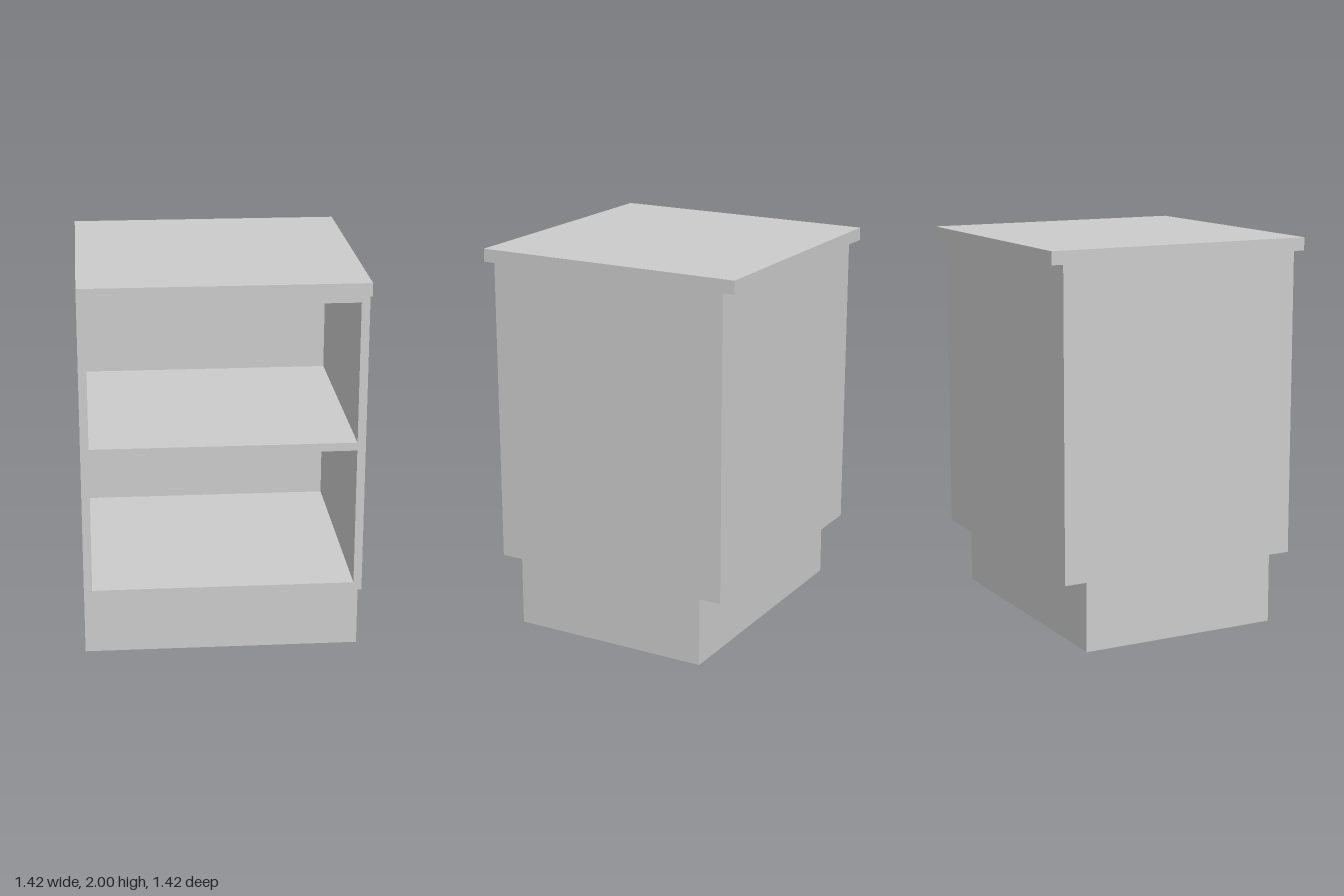
import * as THREE from 'three';

const W = 1.423;               // overall width and worktop depth
const BODY = 0.65;             // half depth of the carcass
const BACK = 0.042;            // back panel thickness
const Y0 = 0.358, Y1 = 1.933;  // carcass bottom and top
const IN0 = 0.4, IN1 = 1.887;  // opening bottom and top
const INX = 0.669;             // opening half width

function rect(shape, x, y0, y1) {
  shape.moveTo(-x, y0);
  shape.lineTo(x, y0);
  shape.lineTo(x, y1);
  shape.lineTo(-x, y1);
  shape.closePath();
  return shape;
}

export function createModel() {
  const group = new THREE.Group();
  const material = new THREE.MeshStandardMaterial({ color: 0xcccccc });

  const add = (name, geometry) => {
    const mesh = new THREE.Mesh(geometry, material);
    mesh.name = name;
    group.add(mesh);
    return mesh;
  };
  // box given by width, bottom, top, back and front
  const box = (name, w, y0, y1, z0, z1) =>
    add(name, new THREE.BoxGeometry(w, y1 - y0, z1 - z0))
      .position.set(0, (y0 + y1) / 2, (z0 + z1) / 2);

  // plinth, set back at front and rear
  box('plinth', W, 0, Y0, -0.533, 0.533);

  // carcass: sides, floor and ceiling as one open frame
  const frame = rect(new THREE.Shape(), W / 2, Y0, Y1);
  frame.holes.push(rect(new THREE.Path(), INX, IN0, IN1));
  const carcass = new THREE.ExtrudeGeometry(frame, { depth: 2 * BODY - BACK, bevelEnabled: false });
  add('carcass', carcass).position.z = -BODY + BACK;

  box('backPanel', W, Y0, Y1, -BODY, -BODY + BACK);
  box('shelf', 2 * INX, 1.122, 1.164, -BODY + BACK, BODY);

  // worktop overhanging front and rear
  box('worktop', W, Y1, 2, -W / 2, W / 2);

  return group;
}
